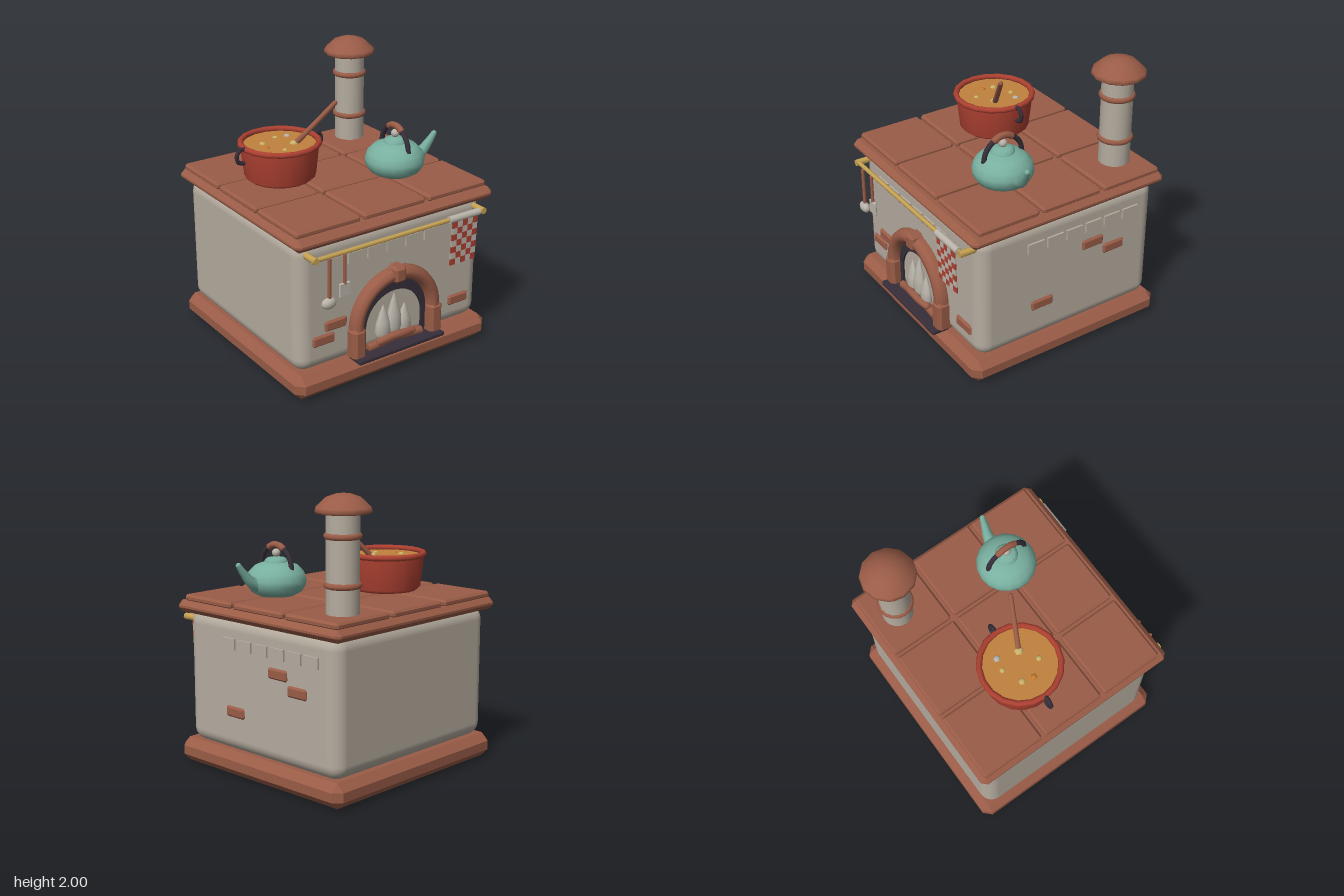
import * as THREE from 'three';
import { RoundedBoxGeometry } from 'three/addons/geometries/RoundedBoxGeometry.js';
import { ConvexGeometry } from 'three/addons/geometries/ConvexGeometry.js';

const mat = (name, color) => {
  const m = new THREE.MeshStandardMaterial({ color });
  m.name = name;
  return m;
};
const V = (x, y, z) => new THREE.Vector3(x, y, z);

export function createModel() {
  const root = new THREE.Group();
  root.name = 'cookingStove';
  const clay = mat('clayBrown', 0x9a5c47), plaster = mat('plaster', 0xb5ac9f), red = mat('potRed', 0xac4031),
    teal = mat('kettleTeal', 0x79b0a0), iron = mat('darkIron', 0x362e39), brass = mat('brass', 0xc6a253),
    broth = mat('broth', 0xc0823e), pale = mat('paleGrey', 0xbab4aa), potato = mat('potatoYellow', 0xcbb36a),
    carrot = mat('carrotOrange', 0xc67c30);

  const add = (name, geo, material, x = 0, y = 0, z = 0, parent = root) => {
    const m = new THREE.Mesh(geo, material);
    m.name = name;
    m.position.set(x, y, z);
    parent.add(m);
    return m;
  };
  // Box with chamfered edges
  const chamfer = (w, h, d, c) => {
    const pts = [];
    for (const x of [-1, 1]) for (const y of [-1, 1]) for (const z of [-1, 1]) {
      const a = w / 2, b = h / 2, e = d / 2;
      pts.push(V(x * a, y * (b - c), z * (e - c)), V(x * (a - c), y * b, z * (e - c)), V(x * (a - c), y * (b - c), z * e));
    }
    return new ConvexGeometry(pts);
  };
  const lathe = (pts, n) => new THREE.LatheGeometry(pts.map(p => new THREE.Vector2(...p)), n);
  // Straight rod between two points
  const rod = (name, a, b, r, material, n = 8) => {
    const m = add(name, new THREE.CylinderGeometry(r, r, a.distanceTo(b), n), material);
    m.position.copy(a).lerp(b, 0.5);
    m.quaternion.setFromUnitVectors(V(0, 1, 0), b.clone().sub(a).normalize());
    return m;
  };
  // Curved tube tapering from r0 to r1, with rounded ends
  const tube = (name, pts, r0, r1, material, n = 14, sides = 8) => {
    const curve = new THREE.CatmullRomCurve3(pts);
    const geo = new THREE.TubeGeometry(curve, n, 1, sides);
    const p = geo.attributes.position, v = V(0, 0, 0);
    for (let i = 0; i < p.count; i++) {
      const t = Math.floor(i / (sides + 1)) / n, c = curve.getPointAt(t);
      v.fromBufferAttribute(p, i).sub(c).multiplyScalar(r0 + (r1 - r0) * t).add(c);
      p.setXYZ(i, v.x, v.y, v.z);
    }
    add(name, geo, material);
    [[pts[0], r0], [pts[pts.length - 1], r1]].forEach(([q, r]) =>
      add(name + 'End', new THREE.SphereGeometry(r, sides, 6), material, q.x, q.y, q.z));
  };

  // Stove body, plinth and tiled top
  const cz = -0.035;
  add('plinth', chamfer(1.64, 0.175, 1.57, 0.055), clay, 0, 0.09, cz);
  add('body', new RoundedBoxGeometry(1.55, 0.96, 1.45, 4, 0.1), plaster, 0, 0.645, -0.045);
  add('topSlab', chamfer(1.64, 0.085, 1.57, 0.035), clay, 0, 1.138, cz);
  for (let i = -1; i <= 1; i++) for (let j = -1; j <= 1; j++)
    add('topTile', chamfer(0.508, 0.05, 0.475, 0.015), clay, i * 0.535, 1.197, -0.047 + j * 0.5);

  // Raised plaster bricks along the top of the front and the +x side
  for (let i = 0; i < 6; i++) {
    add('plasterBrick', new THREE.BoxGeometry(0.13, 0.078, 0.03), plaster, -0.477 + i * 0.159, 0.937, 0.678);
    add('plasterBrick', new THREE.BoxGeometry(0.03, 0.078, 0.13), plaster, 0.774, 0.937, 0.24 - i * 0.158);
  }
  // Exposed clay bricks
  for (const [x, y] of [[-0.48, 0.482], [-0.578, 0.392], [0.578, 0.357]])
    add('frontBrick', chamfer(0.175, 0.075, 0.05, 0.012), clay, x, y, 0.673);
  for (const [z, y] of [[-0.237, 0.8], [-0.417, 0.707], [0.182, 0.46]])
    add('sideBrick', chamfer(0.05, 0.075, 0.175, 0.012), clay, 0.767, y, z);

  // Firebox arch
  for (const s of [-1, 1]) add('archLeg', chamfer(0.11, 0.24, 0.14, 0.025), clay, s * 0.328, 0.3, 0.697);
  const arch = add('archRing', new THREE.TorusGeometry(0.325, 0.052, 10, 28, Math.PI), clay, 0, 0.405, 0.695);
  arch.scale.z = 1.3;
  add('keystone', chamfer(0.1, 0.12, 0.14, 0.02), clay, 0, 0.738, 0.702);
  const archPath = (shape, w, spring, base) => {
    shape.moveTo(-w, base);
    shape.lineTo(w, base);
    shape.lineTo(w, spring);
    shape.absarc(0, spring, w, 0, Math.PI, false);
    shape.lineTo(-w, base);
    return shape;
  };
  const lining = archPath(new THREE.Shape(), 0.29, 0.4, 0.18);
  lining.holes.push(archPath(new THREE.Path(), 0.238, 0.358, 0.181));
  add('fireboxLining', new THREE.ExtrudeGeometry(lining, { depth: 0.03, bevelEnabled: false, curveSegments: 20 }), iron, 0, 0, 0.665);
  add('hearthPlate', chamfer(0.735, 0.034, 0.13, 0.008), iron, 0, 0.19, 0.742);

  // Logs and flames
  tube('frontLog', [V(-0.14, 0.25, 0.72), V(-0.06, 0.27, 0.735), V(0.06, 0.265, 0.735), V(0.14, 0.255, 0.72)], 0.028, 0.028, clay);
  rod('lowLog', V(-0.23, 0.22, 0.705), V(0.12, 0.25, 0.7), 0.03, clay);
  rod('lowLog', V(-0.12, 0.25, 0.7), V(0.23, 0.22, 0.705), 0.03, clay);
  for (const [x, top, w] of [[-0.092, 0.512, 0.066], [0, 0.58, 0.066], [0.09, 0.475, 0.06]]) {
    const h = top - 0.22;
    const flame = add('flame', lathe([[0, 0], [0.6 * w, 0.06 * h], [w, 0.28 * h], [0.85 * w, 0.52 * h], [0.42 * w, 0.8 * h], [0, h]], 10), pale, x, 0.22, 0.69);
    flame.scale.z = 0.65;
  }

  // Utensil rail with its brackets
  rod('rail', V(-0.72, 1.04, 0.765), V(0.72, 1.04, 0.765), 0.016, brass);
  for (const s of [-1, 1]) rod('railBracket', V(s * 0.7, 1.04, 0.66), V(s * 0.7, 1.04, 0.785), 0.024, brass);

  // Ladle and spatula
  rod('ladleHandle', V(-0.6, 0.74, 0.785), V(-0.6, 1.035, 0.785), 0.013, clay);
  add('ladleBowl', new THREE.SphereGeometry(1, 10, 8), pale, -0.605, 0.718, 0.785).scale.set(0.057, 0.04, 0.032);
  rod('spatulaHandle', V(-0.478, 0.82, 0.782), V(-0.478, 1.035, 0.782), 0.012, clay);
  add('spatulaBlade', chamfer(0.086, 0.106, 0.018, 0.005), pale, -0.478, 0.778, 0.782);

  // Chequered towel rolled over the rail
  rod('towelRoll', V(0.4, 1.04, 0.768), V(0.665, 1.04, 0.768), 0.026, pale, 12);
  for (let c = 0; c < 5; c++) for (let r = 0; r < 7; r++)
    add('towelCheck', new THREE.BoxGeometry(0.0448, 0.0472, 0.009), (c + r) % 2 ? pale : red, 0.441 + c * 0.0448, 1.0 - r * 0.0472, 0.782 - r * 0.002);

  // Chimney
  add('chimneyPipe', new THREE.CylinderGeometry(0.11, 0.11, 0.68, 16), plaster, 0.53, 1.55, -0.59);
  for (const y of [1.41, 1.727]) {
    const band = add('chimneyBand', new THREE.TorusGeometry(0.105, 0.022, 8, 16), clay, 0.53, y, -0.59);
    band.rotation.x = Math.PI / 2;
  }
  add('chimneyCap', lathe([[0, 1.872], [0.175, 1.872], [0.19, 1.885], [0.182, 1.91], [0.115, 1.972], [0.05, 1.995], [0, 2]], 12), clay, 0.53, 0, -0.595);

  // Stew pot
  const px = -0.352, pz = -0.18;
  add('pot', lathe([[0, 1.222], [0.225, 1.222], [0.252, 1.245], [0.276, 1.465], [0.262, 1.47], [0.258, 1.4]], 18), red, px, 0, pz);
  const rim = add('potRim', new THREE.TorusGeometry(0.275, 0.021, 8, 18), red, px, 1.48, pz);
  rim.rotation.x = Math.PI / 2;
  add('stew', new THREE.CylinderGeometry(0.262, 0.262, 0.02, 18), broth, px, 1.458, pz);
  for (const [x, z, r, m] of [[-0.455, -0.24, 0.026, potato], [-0.315, -0.3, 0.022, potato], [-0.228, -0.282, 0.026, pale],
    [-0.475, -0.157, 0.025, carrot], [-0.39, -0.053, 0.022, potato], [-0.268, -0.13, 0.035, potato]])
    add('stewChunk', new THREE.SphereGeometry(r, 6, 5), m, x, 1.463, z).scale.y = 0.7;
  for (const s of [-1, 1]) {
    const x = f => px + s * f;
    tube('potHandle', [V(x(0.28), 1.485, pz), V(x(0.315), 1.487, pz), V(x(0.344), 1.45, pz), V(x(0.335), 1.4, pz), V(x(0.295), 1.385, pz)], 0.015, 0.015, iron);
  }
  tube('stirringSpoon', [V(-0.272, 1.45, -0.132), V(-0.135, 1.6, -0.068), V(-0.006, 1.745, -0.007)], 0.02, 0.017, clay, 4);

  // Kettle
  const kx = 0.35, kz = 0.215;
  add('kettleBody', lathe([[0, 1.222], [0.13, 1.222], [0.18, 1.25], [0.207, 1.295], [0.212, 1.335], [0.195, 1.385], [0.15, 1.43], [0.08, 1.455], [0, 1.46]], 18), teal, kx, 0, kz);
  add('kettleLid', lathe([[0.082, 1.44], [0.082, 1.467], [0.06, 1.483], [0, 1.492]], 12), teal, kx, 0, kz);
  add('lidKnob', new THREE.SphereGeometry(0.03, 10, 8), pale, kx, 1.517, kz);
  const bow = [];
  for (let i = 0; i <= 8; i++) {
    const a = Math.PI * i / 8;
    bow.push(V(kx, 1.415 + 0.152 * Math.sin(a), kz + 0.152 * Math.cos(a)));
  }
  tube('kettleHandle', bow, 0.018, 0.018, iron, 20);
  tube('kettleGrip', [V(kx, 1.553, kz - 0.065), V(kx, 1.57, kz - 0.03), V(kx, 1.57, kz + 0.03), V(kx, 1.553, kz + 0.065)], 0.024, 0.024, clay, 8);
  tube('kettleSpout', [V(0.5, 1.3, 0.215), V(0.58, 1.335, 0.225), V(0.635, 1.4, 0.237), V(0.675, 1.458, 0.245)], 0.052, 0.02, teal, 10);

  return root;
}
